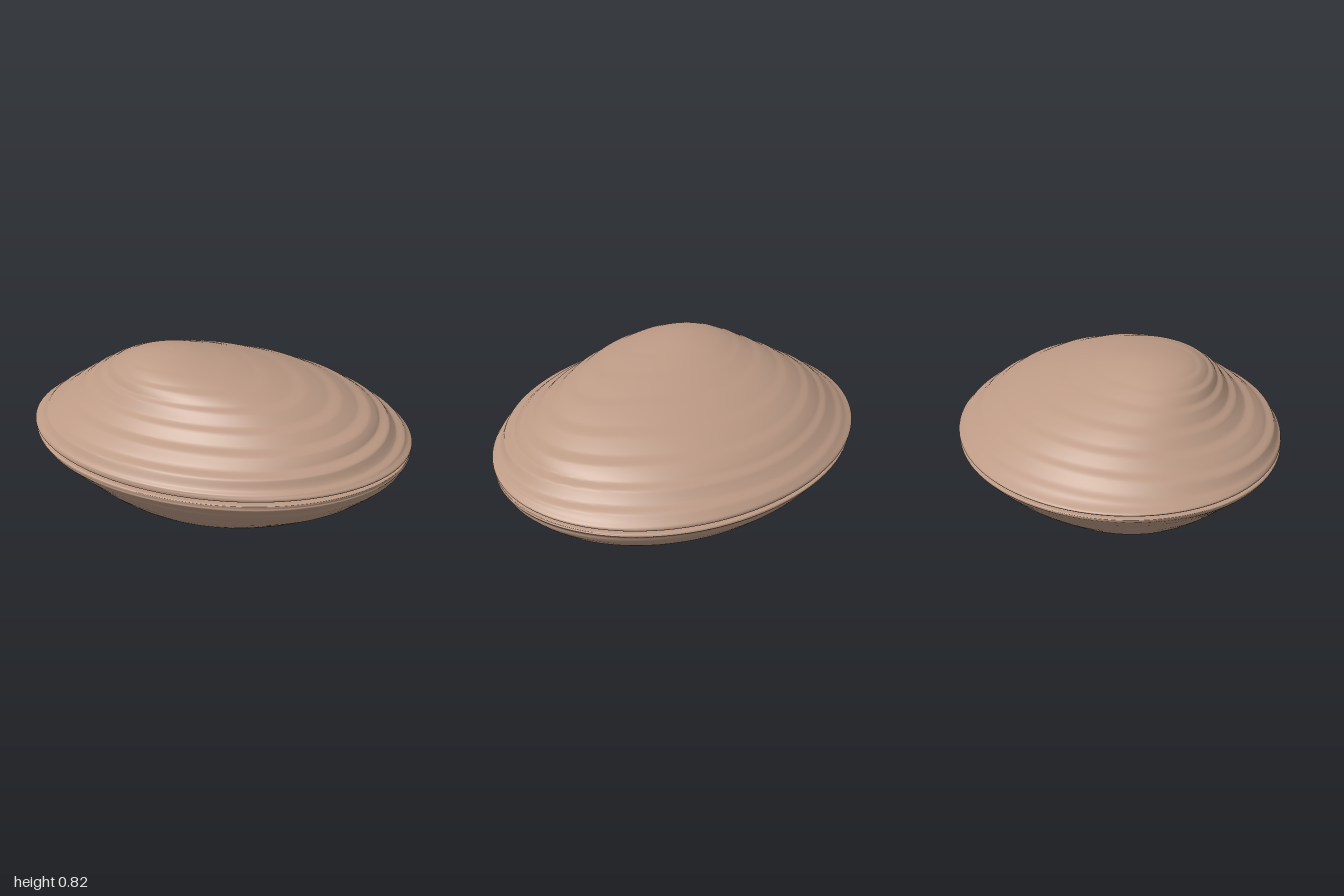
import * as THREE from 'three';

const SEGMENTS = 96;

// Oval cross-sections from low to high: [y, xLow, xHigh, zBack, zFront]
const LOWER = [
  [0.002, 0.02, 0.02, 0.02, 0.02],
  [0.004, -0.16, 0.16, -0.1, 0.14],
  [0.012, -0.32, 0.34, -0.24, 0.28],
  [0.05, -0.5, 0.5, -0.38, 0.43],
  [0.1, -0.63, 0.64, -0.48, 0.55],
  [0.2, -0.78, 0.83, -0.65, 0.67],
  [0.29, -0.89, 0.94, -0.76, 0.76],
  [0.35, -0.965, 0.98, -0.8, 0.815],
  [0.376, -0.99, 0.99, -0.82, 0.825],
  [0.386, -0.97, 0.97, -0.8, 0.81],
  [0.383, -0.86, 0.86, -0.71, 0.74],
];
const UPPER = [
  [0.387, -0.86, 0.86, -0.71, 0.74],
  [0.397, -0.97, 0.97, -0.8, 0.81],
  [0.412, -1, 0.995, -0.82, 0.825],
  [0.44, -0.95, 0.96, -0.8, 0.815],
  [0.5, -0.87, 0.89, -0.72, 0.76],
  [0.56, -0.78, 0.81, -0.64, 0.66],
  [0.62, -0.69, 0.7, -0.53, 0.58],
  [0.68, -0.59, 0.57, -0.39, 0.52],
  [0.73, -0.5, 0.42, -0.24, 0.475],
  [0.77, -0.42, 0.25, -0.11, 0.42],
  [0.8, -0.34, 0.08, 0.0, 0.35],
  [0.82, -0.24, -0.06, 0.1, 0.26],
  [0.826, -0.16, -0.16, 0.18, 0.18],
];

// Stacks smooth rings through the sections and adds stepped growth ridges
function valveGeometry(sections, rows, ridges, depth) {
  const curve = (a, b) => new THREE.CatmullRomCurve3(
    sections.map(s => new THREE.Vector3(s[a], s[b], s[0])), false, 'catmullrom', 0.5);
  const across = curve(1, 2), along = curve(3, 4);
  const positions = [], index = [];
  for (let i = 0; i <= rows; i++) {
    const t = i / rows;
    const px = across.getPoint(t), pz = along.getPoint(t);
    const cx = (px.x + px.y) / 2, rx = (px.y - px.x) / 2;
    const cz = (pz.x + pz.y) / 2, rz = (pz.y - pz.x) / 2;
    const fade = THREE.MathUtils.smoothstep(t, 0.2, 0.32) * (1 - THREE.MathUtils.smoothstep(t, 0.72, 0.95));
    for (let j = 0; j < SEGMENTS; j++) {
      const a = j / SEGMENTS * Math.PI * 2;
      // Ridges lean gently and swell irregularly around the shell
      const phase = t * ridges + 0.35 * Math.sin(a) + 0.12 * Math.sin(a * 3 + 1);
      const f = phase - Math.floor(phase);
      const step = f < 0.75 ? f / 0.75 : (1 - f) / 0.25;
      const strength = 0.7 + 0.3 * Math.cos(a - 0.4);
      const k = 1 + depth * fade * strength * (step - 0.5);
      const z = rz * k * Math.sin(a);
      positions.push(cx + rx * k * Math.cos(a) - 0.08 * z, px.z, cz + z);
      if (i < rows) {
        const n = (j + 1) % SEGMENTS, p = i * SEGMENTS, q = p + SEGMENTS;
        index.push(p + j, q + j, p + n, p + n, q + j, q + n);
      }
    }
  }
  const geometry = new THREE.BufferGeometry();
  geometry.setAttribute('position', new THREE.Float32BufferAttribute(positions, 3));
  geometry.setIndex(index);
  geometry.computeVertexNormals();
  return geometry;
}

export function createModel() {
  const shell = new THREE.MeshStandardMaterial({ color: 0xbc9a85 });
  shell.name = 'shellTan';
  shell.side = THREE.DoubleSide;
  const model = new THREE.Group();
  model.name = 'clam';

  const lower = new THREE.Mesh(valveGeometry(LOWER, 80, 9, 0.006), shell);
  lower.name = 'lowerValve';
  const upper = new THREE.Mesh(valveGeometry(UPPER, 132, 11, 0.035), shell);
  upper.name = 'upperValve';

  model.add(lower, upper);
  return model;
}
